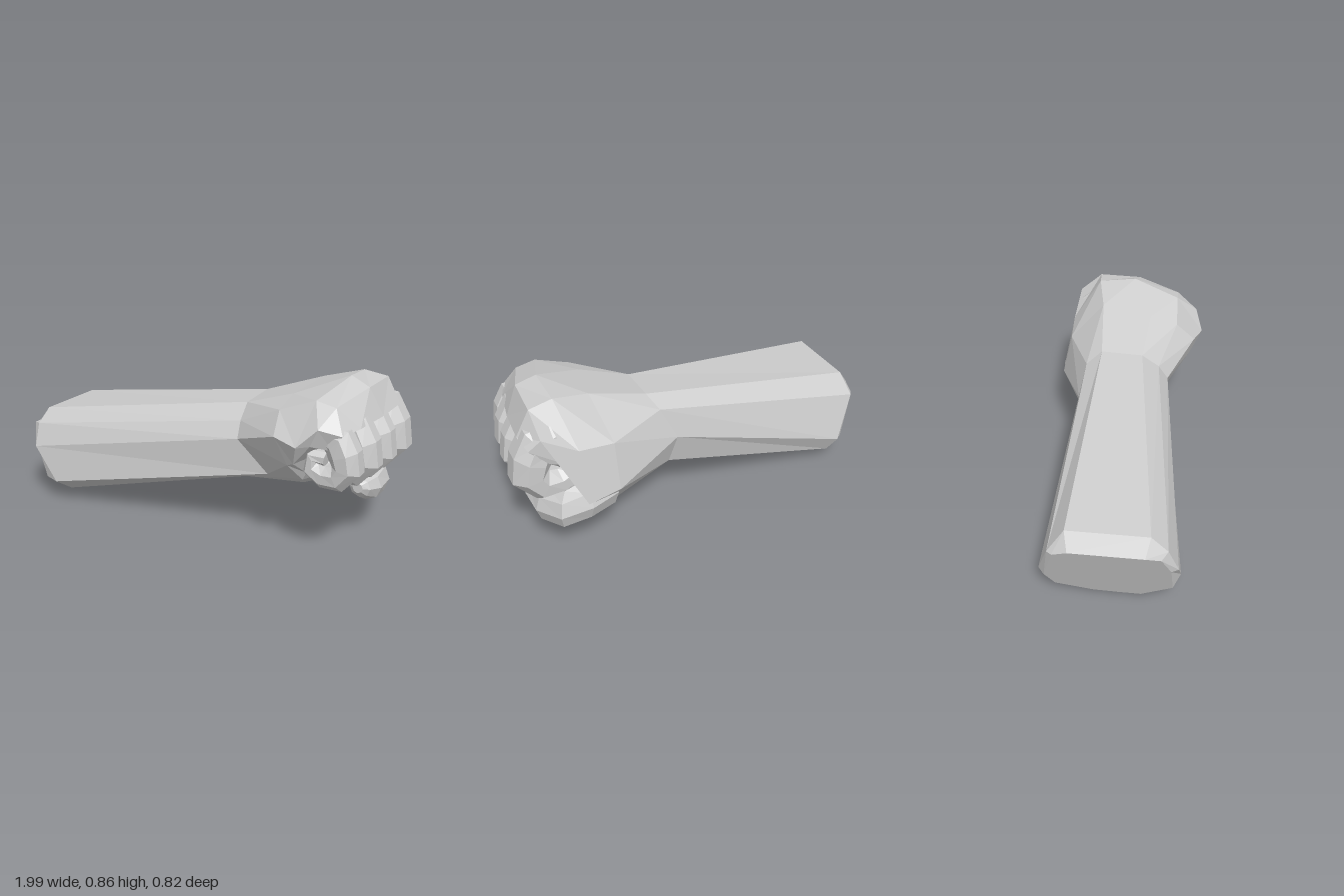
import * as THREE from 'three';

const material = new THREE.MeshStandardMaterial({ color: 0xcccccc, flatShading: true });

// Skin a list of equal-length rings [[x,y,z],...] and close both ends with fans
function loft(name, rings) {
  const n = rings[0].length;
  const pos = [], idx = [];
  rings.forEach(r => r.forEach(p => pos.push(...p)));
  for (let i = 0; i < rings.length - 1; i++) {
    for (let j = 0; j < n; j++) {
      const a = i * n + j, b = i * n + (j + 1) % n;
      idx.push(a, b, b + n, a, b + n, a + n);
    }
  }
  const cap = (i, flip) => {
    const c = pos.length / 3;
    pos.push(...[0, 1, 2].map(k => rings[i].reduce((s, p) => s + p[k], 0) / n));
    for (let j = 0; j < n; j++) {
      const a = i * n + j, b = i * n + (j + 1) % n;
      if (flip) idx.push(c, b, a); else idx.push(c, a, b);
    }
  };
  cap(0, true);
  cap(rings.length - 1, false);
  const g = new THREE.BufferGeometry();
  g.setAttribute('position', new THREE.Float32BufferAttribute(pos, 3));
  g.setIndex(idx);
  const flat = g.toNonIndexed();
  flat.computeVertexNormals();
  const mesh = new THREE.Mesh(flat, material);
  mesh.name = name;
  return mesh;
}

// Eight-sided limb: stations are [x, y, z, thickness radius, half width along the side axis]
function limb(name, stations, side, phase) {
  const pts = stations.map(s => new THREE.Vector3(s[0], s[1], s[2]));
  const rings = stations.map((s, i) => {
    const t = pts[Math.min(i + 1, pts.length - 1)].clone().sub(pts[Math.max(i - 1, 0)]).normalize();
    const normal = side.clone().cross(t).normalize();
    const ring = [];
    for (let j = 0; j < 8; j++) {
      const a = (j + phase) / 8 * Math.PI * 2;
      ring.push(pts[i].clone()
        .addScaledVector(normal, Math.cos(a) * s[3] * 1.05)
        .addScaledVector(side, Math.sin(a) * s[4] * 1.05).toArray());
    }
    return ring;
  });
  return loft(name, rings);
}

export function createModel() {
  const group = new THREE.Group();
  group.name = 'clenchedFistAndForearm';

  // Forearm sections, each running from the top round by the front side
  const elbow = [[-.94, .49, -.14], [-.94, .49, .25], [-.95, .42, .33], [-.94, .3, .38], [-.8, .12, .39],
    [-.84, .01, .22], [-.77, 0, .1], [-.8, .015, -.04], [-.83, .06, -.24], [-.86, .15, -.29], [-.97, .38, -.22]];
  // Slanted flat end
  const elbowCap = elbow.map(([, y, z]) => {
    const h = Math.max(.01, Math.min(y, .41));
    return [-.85 - .15 * (h - .01) / .4, h, .05 + (z - .05) * .9];
  });
  const wrist = [[.24, .68, -.12], [.24, .67, .1], [.25, .6, .19], [.26, .52, .24], [.42, .36, .22],
    [.46, .34, .1], [.2, .23, .02], [.2, .22, -.1], [.15, .28, -.19], [.12, .45, -.235], [.2, .62, -.2]];
  group.add(loft('forearm', [elbowCap, elbow, wrist]));

  // Palm and back of the hand, hollowed below where the fingers curl in
  const heel = [[.55, .79, -.15], [.5, .76, .12], [.5, .72, .27], [.52, .62, .37], [.58, .48, .34],
    [.6, .36, .2], [.5, .28, .02], [.47, .2, -.12], [.5, .22, -.28], [.5, .36, -.385], [.5, .6, -.33]];
  const middle = [[.74, .84, -.19], [.75, .86, .01], [.68, .79, .26], [.65, .6, .41], [.62, .5, .36],
    [.62, .4, .2], [.6, .32, .02], [.6, .26, -.12], [.62, .24, -.3], [.67, .34, -.4], [.68, .62, -.34]];
  const knuckles = [[.86, .82, -.2], [.85, .82, .03], [.78, .77, .26], [.74, .69, .37], [.7, .6, .36],
    [.66, .5, .2], [.64, .45, .02], [.64, .45, -.12], [.66, .45, -.28], [.74, .56, -.34], [.85, .72, -.32]];
  const front = [[.93, .69, -.2], [.915, .68, 0], [.88, .67, .2], [.84, .66, .32], [.79, .58, .31],
    [.74, .56, .2], [.74, .56, .02], [.74, .56, -.12], [.76, .56, -.26], [.82, .58, -.32], [.91, .67, -.31]];
  group.add(loft('palm', [wrist, heel, middle, knuckles, front]));

  // Four curled fingers share one curl, scaled about the middle of the fist
  const curl = [[.76, .67, .07, .8], [.83, .65, .1, .9], [.87, .575, .097, 1], [.89, .49, .092, 1],
    [.84, .425, .08, .97], [.75, .42, .07, .88], [.675, .46, .058, .82], [.68, .54, .05, .78], [.76, .53, .045, .6]];
  const fingers = [
    ['littleFinger', .265, .077, .8],
    ['ringFinger', .118, .084, .93],
    ['middleFinger', -.035, .084, .99],
    ['indexFinger', -.215, .11, 1.04]
  ];
  for (const [name, z, width, s] of fingers) {
    const stations = curl.map(([x, y, r, w]) => [.7 + (x - .7) * s, .5 + (y - .5) * s, z, r * s, width * w]);
    group.add(limb(name, stations, new THREE.Vector3(0, 0, 1), .5));
  }

  // Thumb folded across beneath the fingers
  group.add(limb('thumb', [
    [.54, .33, -.27, .1, .11], [.67, .315, -.315, .09, .1], [.76, .29, -.315, .085, .095],
    [.81, .265, -.22, .08, .092], [.82, .27, -.1, .075, .075], [.81, .28, -.03, .055, .05],
    [.81, .285, 0, .025, .025]
  ], new THREE.Vector3(0, 1, 0), 0));

  return group;
}
